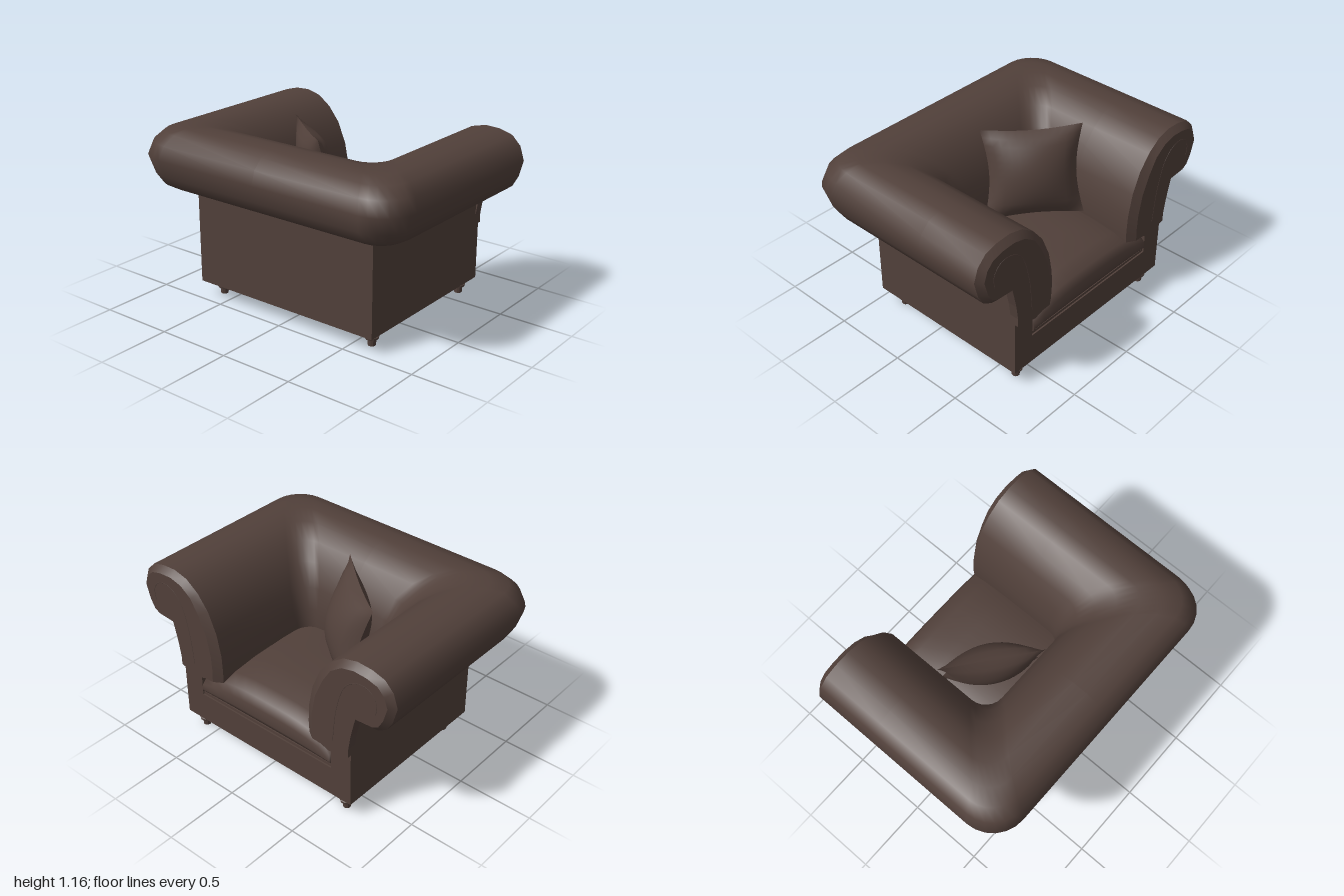
import * as THREE from 'three';

const leather = new THREE.MeshStandardMaterial({ color: 0x51403a, side: THREE.DoubleSide });
leather.name = 'brown leather';

// Skins rows of points into one smooth surface
function skin(rows) {
  const n = rows[0].length, index = [];
  for (let i = 0; i < rows.length - 1; i++)
    for (let j = 0; j < n - 1; j++) {
      const a = i * n + j, b = a + n;
      index.push(a, b, a + 1, b, b + 1, a + 1);
    }
  const g = new THREE.BufferGeometry();
  g.setAttribute('position', new THREE.Float32BufferAttribute(rows.flat(2), 3));
  g.setIndex(index);
  g.computeVertexNormals();
  return g;
}

// Arm and back section: distance outward, height, corner radius
const section = [
  [0.36, 0.48, 0.1], [0.355, 0.56, 0.1], [0.36, 0.68, 0.11], [0.39, 0.83, 0.13],
  [0.45, 0.97, 0.14], [0.53, 1.07, 0.15], [0.62, 1.135, 0.15], [0.72, 1.16, 0.15],
  [0.82, 1.155, 0.16], [0.91, 1.13, 0.19], [0.97, 1.07, 0.22], [1.0, 0.98, 0.23],
  [0.97, 0.87, 0.22], [0.93, 0.8, 0.2], [0.87, 0.765, 0.15], [0.74, 0.755, 0.05],
  [0.66, 0.76, 0.03],
];

// The section pulled inwards, for the front edge of the arms
const inset = section.map(([d, y], i) => {
  const a = section[Math.max(0, i - 1)], b = section[Math.min(section.length - 1, i + 1)];
  const dx = b[0] - a[0], dy = b[1] - a[1], l = Math.hypot(dx, dy);
  const k = i < 5 ? 0.055 : 0.04;
  return [d + (dy / l) * k, y - (dx / l) * k];
});

export function createModel() {
  const group = new THREE.Group();
  const add = (name, geometry) => {
    const mesh = new THREE.Mesh(geometry, leather);
    mesh.name = name;
    group.add(mesh);
    return mesh;
  };
  const box = (name, x0, x1, y0, y1, z0, z1) =>
    add(name, new THREE.BoxGeometry(x1 - x0, y1 - y0, z1 - z0))
      .position.set((x0 + x1) / 2, (y0 + y1) / 2, (z0 + z1) / 2);

  // Rolled arms and back, swept round a U
  const FRONT = 0.68, TIP = 0.718, BACK = 0.28, STEPS = 6;
  const half = [
    section.map(([d, y]) => [FRONT, y, d]),
    section.map(([d, y]) => [0.25, y, d]),
  ];
  for (let s = 0; s <= STEPS; s++) {
    const a = (s / STEPS) * Math.PI / 2;
    half.push(section.map(([d, y, r]) =>
      [BACK - d + r - r * Math.sin(a), y, d - r + r * Math.cos(a)]));
  }
  const mirror = row => row.map(([x, y, z]) => [x, y, -z]);
  const middle = section.map(([d, y]) => [BACK - d, y, 0]);
  add('rolledArmsAndBack', skin([...half, middle, ...half.map(mirror).reverse()]));

  // Bevelled arm fronts and their scroll panels
  const tip = inset.map(([d, y]) => [TIP, y, d]);
  for (const side of [1, -1]) {
    const band = [tip, half[0]];
    add('armFrontBevel', skin(side > 0 ? band : band.map(mirror).reverse()));

    const outline = [...inset.slice(0, -1), [0.73, 0.76], [0.705, 0.65], [0.69, 0.55],
      [0.69, 0.49], [0.54, 0.46], [0.48, 0.48]];
    const shape = new THREE.Shape(outline.map(([d, y]) => new THREE.Vector2(d * side, y)));
    const panel = new THREE.ExtrudeGeometry(shape, { depth: 0.06, bevelEnabled: false });
    panel.translate(0, 0, -TIP);
    panel.rotateY(-Math.PI / 2);
    add('armFrontPanel', panel);

    const seam = [[0.88, 0.9], [0.885, 0.98], [0.83, 1.045], [0.74, 1.045], [0.66, 0.98],
      [0.6, 0.8], [0.57, 0.55]];
    const curve = new THREE.CatmullRomCurve3(
      seam.map(([d, y]) => new THREE.Vector3(TIP - 0.002, y, d * side)));
    add('scrollSeam', new THREE.TubeGeometry(curve, 24, 0.004, 5));
  }

  // Body under the upholstery
  box('base', -0.465, 0.695, 0.105, 0.31, -0.69, 0.69);
  box('backWall', -0.465, -0.3, 0.3, 0.76, -0.69, 0.69);
  box('leftWall', -0.465, 0.695, 0.3, 0.76, 0.54, 0.69);
  box('rightWall', -0.465, 0.695, 0.3, 0.76, -0.69, -0.54);
  box('seatDeck', -0.4, 0.685, 0.305, 0.328, -0.54, 0.54);

  // Crowned seat cushion
  const cushion = [[-0.2, 0.335], [0.66, 0.335], [0.695, 0.35], [0.705, 0.38], [0.7, 0.45],
    [0.67, 0.505], [0.58, 0.54], [0.4, 0.565], [0.15, 0.572], [-0.2, 0.56]];
  const cushionRows = [];
  for (let i = 0; i <= 12; i++) {
    const t = 1 - i / 6;
    const crown = 1 - 0.45 * Math.abs(t) ** 3;
    cushionRows.push(cushion.map(([x, y]) =>
      [x, 0.335 + (y - 0.335) * crown, t * 0.53]));
  }
  const flat = z => cushion.map(([x]) => [Math.min(x, 0.69), 0.335, z]);
  add('seatCushion', skin([flat(0.53), ...cushionRows, flat(-0.53)]));

  // Throw pillow, leaning in the corner: pinched square with two bulging faces
  const corners = [[-0.18, 1.14, 0.06], [0.22, 1.13, -0.45], [0.34, 0.56, -0.35], [-0.05, 0.57, 0.16]]
    .map(p => new THREE.Vector3(...p));
  const normal = new THREE.Vector3(0.76, 0.28, 0.6).normalize();
  const N = 12;
  for (const face of [1, -1]) {
    const rows = [];
    for (let i = 0; i <= N; i++) {
      const row = [];
      for (let j = 0; j <= N; j++) {
        const u0 = face > 0 ? j / N : 1 - j / N, v0 = i / N;
        const su = Math.sin(Math.PI * u0), sv = Math.sin(Math.PI * v0);
        const u = 0.5 + (u0 - 0.5) * (1 - 0.14 * sv), v = 0.5 + (v0 - 0.5) * (1 - 0.08 * su);
        const top = corners[0].clone().lerp(corners[1], u);
        const bottom = corners[3].clone().lerp(corners[2], u);
        const bulge = 0.125 * Math.max(0, su * sv) ** 0.6;
        row.push(top.lerp(bottom, v).addScaledVector(normal, face * bulge).toArray());
      }
      rows.push(row);
    }
    add(face > 0 ? 'pillowFront' : 'pillowBack', skin(rows));
  }

  // Turned feet
  const footProfile = [[0, 0], [0.025, 0], [0.028, 0.04], [0.042, 0.045], [0.045, 0.06],
    [0.036, 0.065], [0.052, 0.085], [0.048, 0.108]].map(p => new THREE.Vector2(...p));
  const foot = new THREE.LatheGeometry(footProfile, 10).toNonIndexed();
  foot.computeVertexNormals();
  for (const x of [-0.345, 0.625])
    for (const z of [-0.605, 0.605]) add('foot', foot).position.set(x, 0, z);

  return group;
}
